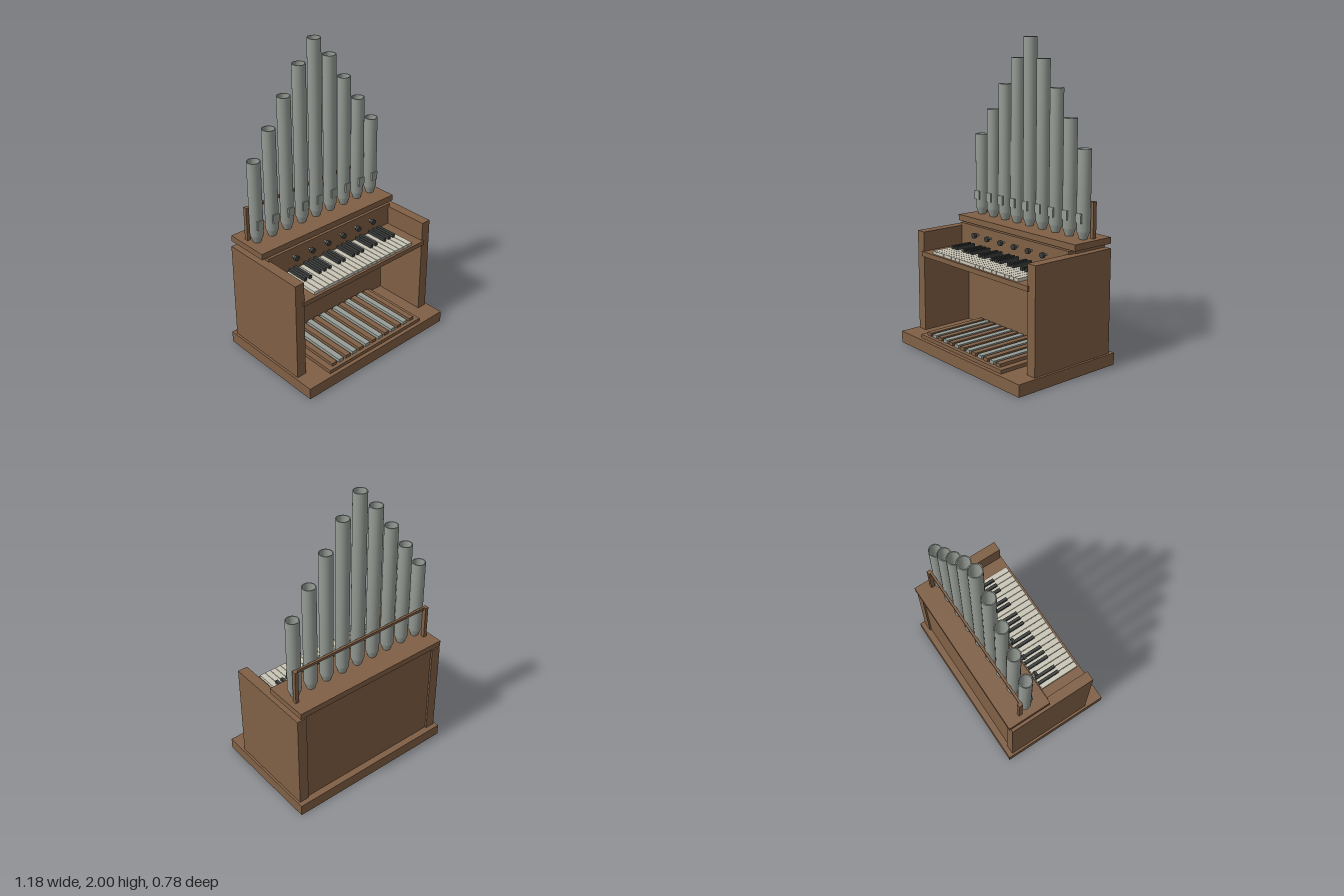
import * as THREE from 'three';
import { toCreasedNormals } from 'three/addons/utils/BufferGeometryUtils.js';

const mat = (color) => new THREE.MeshStandardMaterial({ color });

export function createModel() {
  const model = new THREE.Group();
  const wood = mat(0x7f5f45), metal = mat(0x979d96);
  const ivory = mat(0xc9c6b6), ebony = mat(0x3a3d3c);

  const add = (name, geometry, material, parent = model) => {
    const mesh = new THREE.Mesh(geometry, material);
    mesh.name = name;
    parent.add(mesh);
    return mesh;
  };
  // Box given by its extents along each axis
  const box = (name, [x0, x1], [y0, y1], [z0, z1], material = wood, parent = model) => {
    const mesh = add(name, new THREE.BoxGeometry(x1 - x0, y1 - y0, z1 - z0), material, parent);
    mesh.position.set((x0 + x1) / 2, (y0 + y1) / 2, (z0 + z1) / 2);
    return mesh;
  };
  const group = (name) => {
    const g = new THREE.Group();
    g.name = name;
    model.add(g);
    return g;
  };

  // Case
  box('base', [-0.59, 0.59], [0, 0.077], [-0.39, 0.39]);
  box('leftSide', [0.508, 0.575], [0.077, 0.745], [-0.357, 0.257]);
  box('rightSide', [-0.575, -0.508], [0.077, 0.745], [-0.357, 0.257]);
  box('body', [-0.508, 0.508], [0.077, 0.745], [-0.345, -0.11]);
  box('corniceBase', [-0.53, 0.53], [0.745, 0.77], [-0.35, -0.1]);
  box('cornice', [-0.56, 0.56], [0.77, 0.81], [-0.372, -0.068]);
  box('stopPanel', [-0.52, 0.52], [0.61, 0.765], [-0.11, -0.055]);
  box('keyShelf', [-0.52, 0.52], [0.583, 0.615], [-0.11, 0.267]);

  // Stop knobs
  const stops = group('stopKnobs');
  for (let i = 0; i < 6; i++) {
    const x = (i - 2.5) * 0.132;
    const stem = add('stopStem', new THREE.CylinderGeometry(0.006, 0.006, 0.04, 12), metal, stops);
    const knob = add('stopKnob', new THREE.CylinderGeometry(0.018, 0.018, 0.018, 20), ebony, stops);
    stem.position.set(x, 0.71, -0.042);
    knob.position.set(x, 0.71, -0.02);
    stem.rotation.x = knob.rotation.x = Math.PI / 2;
  }

  // Keyboard: three octaves
  const keyboard = group('keyboard');
  const step = 0.0402;
  for (let i = 0; i < 21; i++) {
    const x = -0.422 + i * step;
    box('whiteKey', [x + 0.001, x + step - 0.002], [0.615, 0.635], [-0.027, 0.25], ivory, keyboard);
    if (i % 7 !== 0 && i % 7 !== 3) {
      box('blackKey', [x - 0.0095, x + 0.0095], [0.63, 0.656], [-0.027, 0.123], ebony, keyboard);
    }
  }

  // Pedalboard with alternating wood and metal pedals
  const pedals = group('pedalboard');
  box('pedalPlate', [-0.403, 0.403], [0.077, 0.1], [-0.11, 0.365], wood, pedals);
  for (let i = 0; i < 13; i++) {
    const x = (i - 6) * 0.0576;
    box('pedal', [x - 0.019, x + 0.019], [0.1, 0.121], [-0.1, 0.341], i % 2 ? metal : wood, pedals);
  }

  // Pipes: tapered foot, hollow open top, raised mouth plate
  const pipes = group('pipes');
  const tops = [2, 1.87, 1.7, 1.528, 1.356];
  for (let i = -4; i <= 4; i++) {
    const x = i * 0.1207, top = tops[Math.abs(i)], z = -0.211;
    const profile = [
      [0, 0.81], [0.025, 0.81], [0.043, 0.86], [0.043, top],
      [0.037, top], [0.037, 0.87], [0, 0.87],
    ].map(([r, y]) => new THREE.Vector2(r, y));
    const pipe = add('pipe', toCreasedNormals(new THREE.LatheGeometry(profile, 24), 0.4), metal, pipes);
    pipe.position.set(x, 0, z);
    box('pipeMouth', [x - 0.023, x + 0.023], [0.912, 0.972], [z + 0.034, z + 0.047], metal, pipes);
  }

  // Support rail behind the pipes
  box('pipeRail', [-0.525, 0.525], [1.018, 1.036], [-0.266, -0.25]);
  for (const s of [-1, 1]) {
    box('railPost', [s * 0.513 - 0.012, s * 0.513 + 0.012], [0.81, 1.036], [-0.278, -0.252]);
  }

  return model;
}
